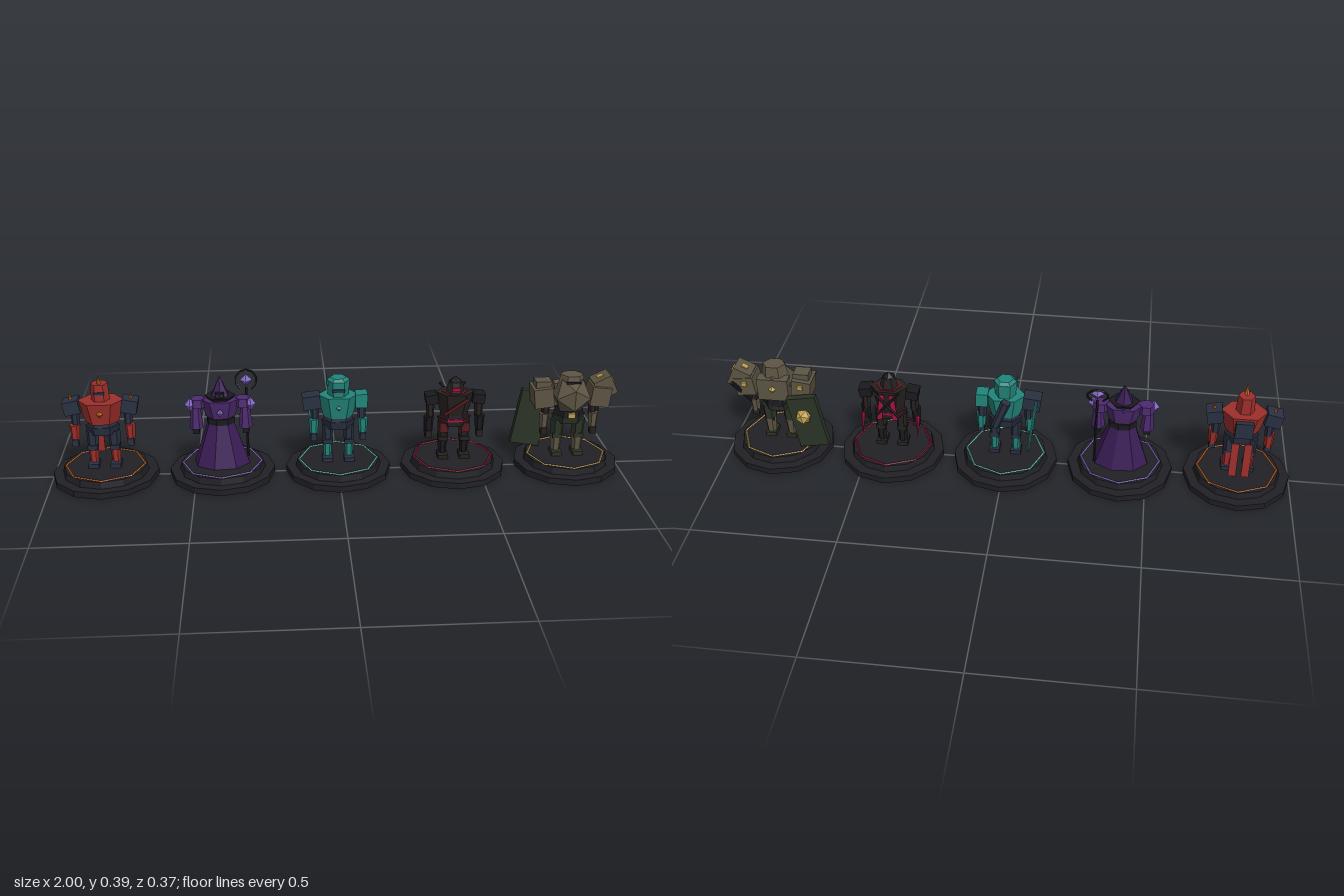
import * as THREE from 'three';

const C = {
  black: 0x1a1a1f, base: 0x202025, navy: 0x2a3042, red: 0x9c2f2b, orange: 0xc8651c, purple: 0x3a1d55,
  plum: 0x4c2a6e, violet: 0x8468c8, teal: 0x22857a, mint: 0x5fb8a4, crimson: 0xa0123c, char: 0x26211f,
  maroon: 0x571a20, tan: 0x5d5544, gold: 0xc0a050, green: 0x2b3326,
};
const mats = {};
const mat = (c) => (mats[c] ??= new THREE.MeshStandardMaterial({ color: C[c], flatShading: true }));

function add(g, name, geo, color, x = 0, y = 0, z = 0, rx = 0, ry = 0, rz = 0) {
  const m = new THREE.Mesh(geo, mat(color));
  m.name = name;
  m.position.set(x, y, z);
  m.rotation.set(rx, ry, rz);
  g.add(m);
  return m;
}
const box = (w, h, d) => new THREE.BoxGeometry(w, h, d);
// Faceted prism, flattened along z
const prism = (rt, rb, h, n = 6, depth = 1) =>
  new THREE.CylinderGeometry(rt, rb, h, n).rotateY(Math.PI / 6).scale(1, 1, depth);
const gem = (r, sy = 1) => new THREE.OctahedronGeometry(r).scale(1, sy, 1);
const spike = (r, h) => new THREE.ConeGeometry(r, h, 4);
const tube = (pts, r, n = 12) =>
  new THREE.TubeGeometry(new THREE.CatmullRomCurve3(pts.map((p) => new THREE.Vector3(...p))), n, r, 5);
function rod(g, name, a, b, r, color) {
  const p = new THREE.Vector3(...a), q = new THREE.Vector3(...b);
  const m = add(g, name, new THREE.CylinderGeometry(r, r, p.distanceTo(q), 6), color);
  m.position.copy(p).add(q).multiplyScalar(0.5);
  m.quaternion.setFromUnitVectors(new THREE.Vector3(0, 1, 0), q.sub(p).normalize());
}
const both = (f) => [-1, 1].forEach(f);

// Twelve-sided plinth with an octagonal inlaid ring
function plinth(g, trim) {
  add(g, 'baseLower', new THREE.CylinderGeometry(0.184, 0.184, 0.022, 12), 'base', 0, 0.011);
  add(g, 'baseUpper', new THREE.CylinderGeometry(0.145, 0.15, 0.023, 12), 'base', 0, 0.0335);
  add(g, 'baseRing', new THREE.TorusGeometry(0.138, 0.0035, 4, 8), trim, 0, 0.045, 0, Math.PI / 2);
}

function legs(g, main, dark, r = 0.019) {
  both((s) => {
    add(g, 'foot', box(0.036, 0.015, 0.055), dark, s * 0.038, 0.052, 0.006);
    add(g, 'shin', prism(r * 0.95, r * 0.75, 0.065), main, s * 0.038, 0.085);
    add(g, 'knee', box(0.034, 0.016, 0.036), dark, s * 0.038, 0.117, 0.003);
    add(g, 'thigh', prism(r * 1.15, r, 0.06), dark, s * 0.037, 0.148);
  });
  add(g, 'hips', prism(0.06, 0.05, 0.03, 6, 0.7), dark, 0, 0.182);
}

function arms(g, main, dark, x = 0.095) {
  both((s) => {
    add(g, 'upperArm', prism(0.016, 0.014, 0.075), dark, s * x * 0.95, 0.232);
    add(g, 'forearm', prism(0.018, 0.014, 0.06), main, s * x, 0.172, 0.006);
    add(g, 'hand', box(0.022, 0.026, 0.026), dark, s * x, 0.137, 0.01);
  });
}

function torso(g, main, dark, w = 0.075) {
  add(g, 'waist', prism(0.045, 0.052, 0.03, 6, 0.75), dark, 0, 0.208);
  add(g, 'chest', prism(w, w * 0.72, 0.08, 6, 0.75), main, 0, 0.25);
  add(g, 'neck', prism(0.02, 0.024, 0.02), dark, 0, 0.293);
}

function warrior(g) {
  legs(g, 'red', 'navy');
  arms(g, 'red', 'navy');
  torso(g, 'red', 'navy', 0.08);
  add(g, 'helmet', prism(0.029, 0.032, 0.06), 'red', 0, 0.322);
  add(g, 'visor', box(0.036, 0.008, 0.01), 'navy', 0, 0.322, 0.026);
  add(g, 'crestSpike', spike(0.01, 0.05), 'orange', 0, 0.366, 0.014, 0.4);
  add(g, 'chestGem', gem(0.012), 'orange', 0, 0.255, 0.05);
  add(g, 'backpack', box(0.06, 0.06, 0.025), 'navy', 0, 0.25, -0.055);
  both((s) => {
    add(g, 'pauldron', box(0.055, 0.048, 0.056), 'navy', s * 0.098, 0.27, 0, 0, 0, -s * 0.2);
    add(g, 'pauldronSpike', spike(0.007, 0.03), 'orange', s * 0.104, 0.303, 0, 0, 0, -s * 0.2);
    add(g, 'capeStrip', box(0.026, 0.13, 0.006), 'red', s * 0.022, 0.128, -0.067, 0.1);
  });
}

function mage(g) {
  add(g, 'robe', prism(0.045, 0.1, 0.16, 8, 0.76), 'purple', 0, 0.125);
  add(g, 'belt', prism(0.05, 0.05, 0.022, 8, 0.78), 'black', 0, 0.207);
  add(g, 'chest', prism(0.072, 0.048, 0.07, 6, 0.7), 'plum', 0, 0.25);
  add(g, 'collar', prism(0.054, 0.04, 0.018, 6, 0.85), 'black', 0, 0.288);
  add(g, 'hood', new THREE.ConeGeometry(0.042, 0.09, 6), 'purple', 0, 0.322, -0.004, -0.06);
  add(g, 'face', box(0.03, 0.026, 0.012), 'black', 0, 0.303, 0.028);
  both((s) => {
    both((t) => add(g, 'eye', gem(0.004), 'violet', t * 0.008, 0.306, 0.035));
    add(g, 'shoulder', prism(0.026, 0.03, 0.03), 'plum', s * 0.078, 0.272);
    add(g, 'sleeve', prism(0.016, 0.024, 0.08), 'plum', s * 0.085, 0.22, 0.006);
    add(g, 'hand', box(0.022, 0.022, 0.026), 'black', s * 0.086, 0.172, 0.008);
    add(g, 'floatingCrystal', gem(0.019, 1.4), 'violet', s * 0.104, 0.268, 0.015);
  });
  add(g, 'chestGem', gem(0.012, 1.4), 'violet', 0, 0.25, 0.052);
  // Staff with an open ring around its crystal
  rod(g, 'staff', [0.09, 0.05, -0.03], [0.09, 0.31, -0.03], 0.005, 'black');
  add(g, 'staffRing', new THREE.TorusGeometry(0.036, 0.004, 5, 8, 5.2), 'black', 0.09, 0.335, -0.038, -0.4, 0, -1.05);
  add(g, 'staffCrystal', gem(0.022), 'violet', 0.09, 0.338, -0.03);
}

function archer(g) {
  legs(g, 'teal', 'navy', 0.017);
  arms(g, 'teal', 'navy', 0.086);
  torso(g, 'teal', 'navy', 0.072);
  add(g, 'helmet', prism(0.041, 0.036, 0.055), 'teal', 0, 0.317);
  add(g, 'helmetTop', prism(0.028, 0.041, 0.01), 'teal', 0, 0.349);
  add(g, 'visor', box(0.044, 0.01, 0.01), 'navy', 0, 0.315, 0.033);
  add(g, 'antenna', spike(0.005, 0.05), 'teal', -0.04, 0.352, 0.01, 0, 0, 0.1);
  add(g, 'chestGem', gem(0.01), 'mint', 0, 0.255, 0.048);
  add(g, 'pauldronRight', box(0.062, 0.048, 0.054), 'navy', -0.093, 0.268, 0, 0, 0, 0.12);
  add(g, 'pauldronLeft', box(0.042, 0.05, 0.05), 'teal', 0.08, 0.27);
  // Bow hung at the right hand, with its string
  const bow = new THREE.Group();
  bow.name = 'bow';
  add(bow, 'bowLimb', new THREE.TorusGeometry(0.09, 0.0045, 5, 10, 4.2).rotateZ(-2.1), 'teal');
  add(bow, 'bowString', new THREE.CylinderGeometry(0.001, 0.001, 0.155, 4), 'mint', -0.045);
  bow.position.set(-0.098, 0.19, -0.038);
  bow.rotation.set(0, Math.PI / 2, 0.12, 'ZYX');
  g.add(bow);
  add(g, 'quiver', prism(0.018, 0.014, 0.11), 'navy', 0.01, 0.245, -0.062, 0, 0, 0.35);
}

function rogue(g) {
  legs(g, 'black', 'char', 0.018);
  arms(g, 'black', 'char', 0.09);
  torso(g, 'char', 'black', 0.068);
  add(g, 'hood', prism(0.022, 0.034, 0.045), 'char', 0, 0.308);
  add(g, 'hoodPeak', new THREE.ConeGeometry(0.024, 0.02, 6), 'black', 0, 0.338);
  add(g, 'mask', box(0.03, 0.012, 0.01), 'crimson', 0, 0.306, 0.027);
  add(g, 'scarf', prism(0.045, 0.05, 0.016, 6, 0.85), 'maroon', 0, 0.284);
  add(g, 'sash', prism(0.054, 0.056, 0.012, 6, 0.75), 'crimson', 0, 0.193);
  add(g, 'chestStrap', box(0.1, 0.01, 0.006), 'maroon', 0, 0.25, 0.048, 0, 0, 0.6);
  both((s) => {
    add(g, 'pauldron', box(0.044, 0.034, 0.05), 'black', s * 0.082, 0.268, 0, 0, 0, -s * 0.15);
    add(g, 'thighPlate', box(0.028, 0.035, 0.006), 'maroon', s * 0.038, 0.162, 0.025);
    add(g, 'dagger', spike(0.008, 0.085), 'crimson', s * 0.098, 0.135, -0.025, Math.PI + 0.25);
    add(g, 'scarfTail', box(0.018, 0.1, 0.005), 'crimson', s * 0.022, 0.235, -0.056, 0.08, 0, s * 0.12);
    rod(g, 'backBlade', [s * 0.04, 0.2, -0.06], [-s * 0.045, 0.3, -0.06], 0.005, 'black');
  });
}

function guardian(g) {
  legs(g, 'tan', 'green', 0.022);
  arms(g, 'tan', 'char', 0.088);
  add(g, 'waist', prism(0.05, 0.055, 0.035, 6, 0.8), 'black', 0, 0.208);
  add(g, 'chest', new THREE.IcosahedronGeometry(0.07, 0), 'tan', 0, 0.272, 0.02);
  add(g, 'backPlate', box(0.11, 0.085, 0.04), 'tan', 0, 0.265, -0.025);
  add(g, 'helmet', prism(0.04, 0.05, 0.05, 6, 0.85), 'tan', 0, 0.322, 0.005);
  add(g, 'visor', box(0.05, 0.008, 0.01), 'black', 0, 0.325, 0.038);
  add(g, 'backStud', gem(0.014), 'gold', 0, 0.27, -0.047);
  add(g, 'buckle', box(0.024, 0.018, 0.01), 'gold', 0, 0.205, 0.045);
  both((s) => {
    add(g, 'pauldron', box(0.068, 0.07, 0.085), 'tan', s * 0.1, 0.27, 0, 0, 0, -s * 0.12);
    add(g, 'pauldronStud', box(0.018, 0.016, 0.01), 'gold', s * 0.1, 0.285, -0.046);
  });
  add(g, 'shoulderBlock', box(0.055, 0.028, 0.05), 'tan', -0.1, 0.312);
  // Tilted shield at the right side with a faceted boss
  const shield = new THREE.Group();
  shield.name = 'shield';
  add(shield, 'shieldPlate', box(0.105, 0.205, 0.025), 'green');
  add(shield, 'shieldBoss', new THREE.IcosahedronGeometry(0.029, 0), 'gold', 0.005, 0.03, -0.016);
  shield.position.set(-0.122, 0.158, -0.062);
  shield.rotation.z = -0.17;
  g.add(shield);
  // Heavy hammer carried over the left shoulder
  rod(g, 'hammerShaft', [0.09, 0.165, 0.01], [0.135, 0.3, -0.065], 0.008, 'black');
  const head = new THREE.Group();
  head.name = 'hammerHead';
  add(head, 'hammerBlock', box(0.065, 0.07, 0.07), 'tan');
  add(head, 'hammerStud', box(0.008, 0.016, 0.022), 'gold', 0.034, 0.01);
  add(head, 'hammerTopStud', box(0.022, 0.006, 0.02), 'gold', 0, 0.036);
  head.position.set(0.118, 0.3, -0.005);
  head.rotation.z = 0.45;
  g.add(head);
}

export function createModel() {
  const root = new THREE.Group();
  root.name = 'figurineSet';
  const set = [
    ['warrior', warrior, 'orange'], ['mage', mage, 'violet'], ['archer', archer, 'mint'],
    ['rogue', rogue, 'crimson'], ['guardian', guardian, 'gold'],
  ];
  set.forEach(([name, build, trim], i) => {
    const g = new THREE.Group();
    g.name = name;
    plinth(g, trim);
    build(g);
    g.position.x = (i - 2) * 0.408;
    root.add(g);
  });
  return root;
}
